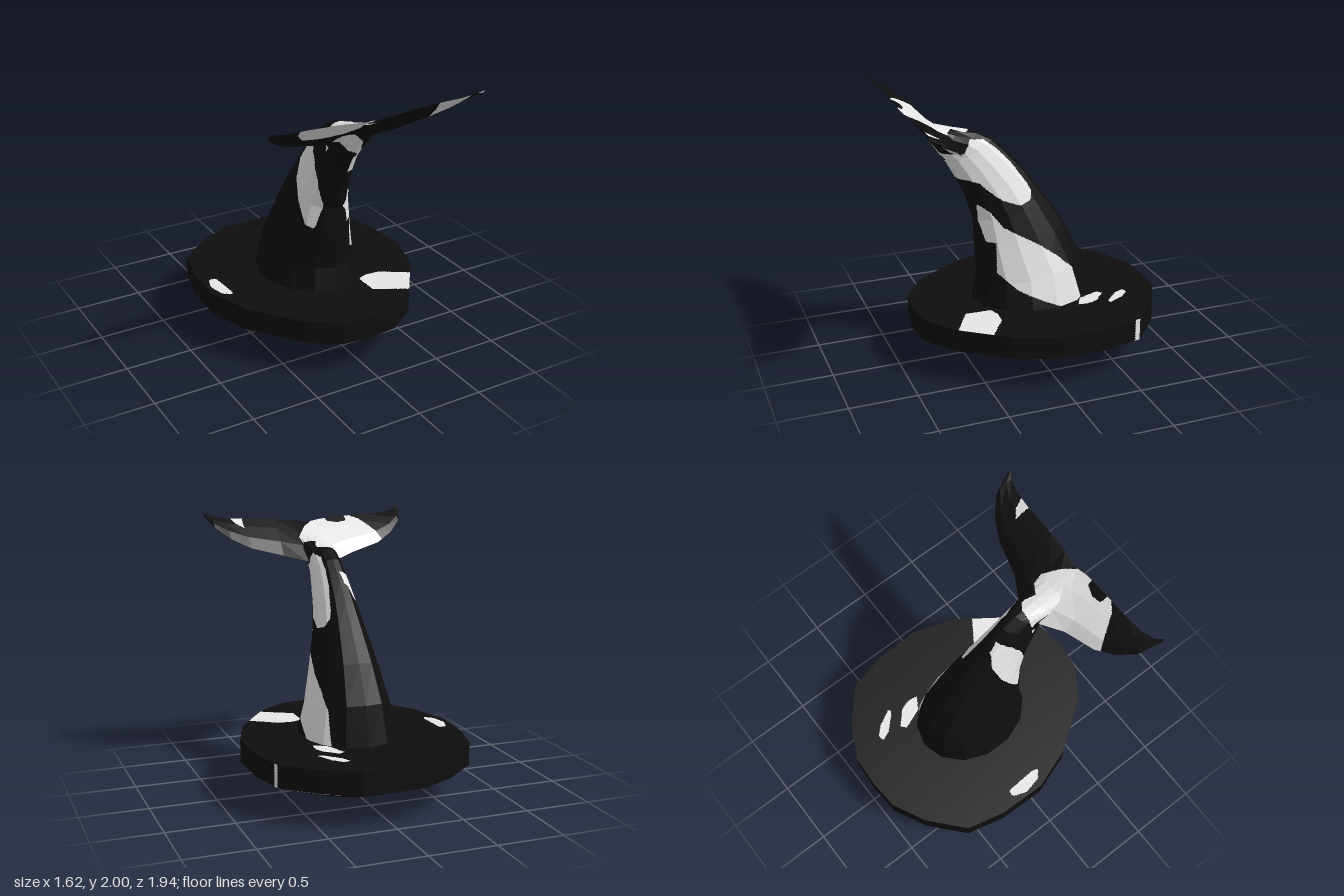
import * as THREE from 'three';

const black = new THREE.MeshStandardMaterial({ color: 0x0e0e0e });
black.name = 'black';
const white = new THREE.MeshStandardMaterial({ color: 0xe6e6e6 });
white.name = 'white';

const V = (x, y, z) => new THREE.Vector3(x, y, z);

// Closed skin through rings of points, capped at both ends, facing outward
function loft(rings) {
  const tris = [];
  const n = rings[0].length;
  for (let i = 0; i < rings.length - 1; i++) {
    for (let j = 0; j < n; j++) {
      const k = (j + 1) % n;
      const a = rings[i][j], b = rings[i][k], c = rings[i + 1][k], d = rings[i + 1][j];
      tris.push([a, b, c], [a, c, d]);
    }
  }
  const cap = (ring, flip) => {
    const mid = ring.reduce((s, p) => s.add(p), V(0, 0, 0)).divideScalar(n);
    ring.forEach((p, j) => {
      const q = ring[(j + 1) % n];
      tris.push(flip ? [mid, q, p] : [mid, p, q]);
    });
  };
  cap(rings[0], true);
  cap(rings[rings.length - 1], false);
  const volume = tris.reduce((s, [a, b, c]) => s + a.dot(b.clone().cross(c)), 0);
  return volume < 0 ? tris.map(([a, b, c]) => [a, c, b]) : tris;
}

function inside(poly, u, v) {
  let hit = false;
  for (let i = 0, j = poly.length - 1; i < poly.length; j = i++) {
    const [ui, vi] = poly[i], [uj, vj] = poly[j];
    if (vi > v !== vj > v && u < ((uj - ui) * (v - vi)) / (vj - vi) + ui) hit = !hit;
  }
  return hit;
}

// Patch outlines are (z,y) for x sides, (x,z) for y sides, (x,y) for z sides
const plane = { x: ['z', 'y'], y: ['x', 'z'], z: ['x', 'y'] };
const patch = (axis, sign, poly) => ({ axis, sign, poly });

// Splits facets along the patch outlines, giving a black and a white group
function paint(name, tris, patches) {
  const out = [[], []];
  for (const tri of tris) {
    const normal = new THREE.Triangle(...tri).getNormal(V(0, 0, 0));
    const active = patches.filter((p) => normal[p.axis] * p.sign > 0.04);
    const classOf = (p) =>
      active.some((a) => inside(a.poly, p[plane[a.axis][0]], p[plane[a.axis][1]])) ? 1 : 0;
    const split = (a, b, c) => {
      const ab = a.distanceTo(b), bc = b.distanceTo(c), ca = c.distanceTo(a);
      const longest = Math.max(ab, bc, ca);
      // rotate so that a-b is the longest edge
      if (bc === longest && ab < longest) return split(b, c, a);
      if (ca === longest && ab < longest) return split(c, a, b);
      const kind = classOf(a.clone().add(b).add(c).divideScalar(3));
      const mixed = [a, b, c].some((p) => classOf(p) !== kind);
      if (active.length && longest > (mixed ? 0.012 : 0.06)) {
        const m = a.clone().lerp(b, 0.5);
        split(a, m, c);
        split(m, b, c);
      } else {
        for (const p of [a, b, c]) out[kind].push(p.x, p.y, p.z);
      }
    };
    split(...tri);
  }
  const geo = new THREE.BufferGeometry();
  geo.setAttribute('position', new THREE.Float32BufferAttribute(out[0].concat(out[1]), 3));
  geo.addGroup(0, out[0].length / 3, 0);
  geo.addGroup(out[0].length / 3, out[1].length / 3, 1);
  geo.computeVertexNormals();
  const mesh = new THREE.Mesh(geo, [black, white]);
  mesh.name = name;
  return mesh;
}

// Faceted disc with a shallow pointed underside
function makeBase() {
  const half = [[0.23, -0.955], [0.48, -0.83], [0.73, -0.61], [0.8, -0.32], [0.81, 0.03],
    [0.7, 0.35], [0.44, 0.71], [0.22, 0.86]];
  const outline = [[0, -0.97], ...half, [0, 0.89],
    ...half.slice().reverse().map(([x, z]) => [-x, z])];
  const ring = (s, y) => outline.map(([x, z]) => V(x * s, y + 0.01 * z * s, z * s));
  const tris = loft([ring(0.001, 0), ring(0.6, 0.107), ring(1, 0.262), ring(1, 0.43)]);
  return paint('base', tris, [
    patch('y', 1, [[0.23, 0.36], [0.3, 0.33], [0.42, 0.34], [0.66, 0.5], [0.5, 0.7], [0.23, 0.55]]),
    patch('y', 1, [[0.23, -0.7], [0.27, -0.72], [0.34, -0.65], [0.42, -0.5], [0.36, -0.53], [0.26, -0.63]]),
    patch('y', 1, [[0.2, -0.5], [0.24, -0.53], [0.34, -0.44], [0.37, -0.36], [0.36, -0.28], [0.26, -0.34]]),
    patch('y', 1, [[-0.74, -0.2], [-0.69, -0.18], [-0.675, 0.05], [-0.69, 0.1], [-0.75, 0.05], [-0.78, -0.08]]),
    patch('x', 1, [[-0.57, 0.2], [-0.61, 0.2], [-0.61, 0.5], [-0.57, 0.5]]),
    // underside
    patch('y', -1, [[0.3, 0.86], [0.42, 0.8], [0.4, 0.6], [0.33, 0.4], [0.2, 0.27], [0.05, 0.18],
      [0.15, 0.35], [0.25, 0.5], [0.28, 0.65]]),
    patch('y', -1, [[0.5, -0.83], [0.68, -0.67], [0.55, -0.62], [0.42, -0.72], [0.35, -0.87]]),
    patch('y', -1, [[-0.85, -0.3], [-0.66, -0.4], [-0.45, -0.1], [-0.48, 0.1], [-0.35, 0.2], [-0.15, 0.18],
      [-0.28, 0.38], [-0.45, 0.52], [-0.49, 0.42], [-0.58, 0.17], [-0.68, 0.52], [-0.85, 0.1]]),
  ]);
}

// Patches shared by the stock and the flukes
const crownPatch = patch('y', 1, [[-0.56, 0.66], [-0.43, 0.85], [-0.33, 0.92], [-0.32, 0.84], [-0.25, 0.83],
  [-0.17, 0.86], [-0.16, 0.92], [-0.08, 0.92], [0.03, 0.82], [0.12, 0.69], [0.11, 0.62], [0.03, 0.57],
  [0.06, 0.47], [0, 0.43], [-0.1, 0.43], [-0.2, 0.5], [-0.5, 0.6]]);
const throatPatch = patch('z', 1, [[-0.21, 1.73], [-0.17, 1.78], [-0.08, 1.78], [0.01, 1.7], [0.03, 1.62],
  [0.12, 1.61], [0.15, 1.36], [0.1, 1.4], [0.03, 1.42], [0.02, 1.58], [-0.06, 1.62], [-0.12, 1.69]]);

// Curved tail stock: front z,y, back z,y and half width of each section
function makeStock() {
  const sections = [
    [0.42, 0.42, -0.475, 0.41, 0.372], [0.385, 0.6, -0.42, 0.72, 0.312], [0.4, 0.82, -0.28, 1.0, 0.25],
    [0.41, 1.08, -0.13, 1.22, 0.195], [0.47, 1.28, 0, 1.4, 0.155], [0.54, 1.42, 0.13, 1.55, 0.13],
    [0.6, 1.53, 0.26, 1.68, 0.112], [0.64, 1.585, 0.37, 1.74, 0.11], [0.69, 1.66, 0.53, 1.775, 0.13],
    [0.76, 1.76, 0.68, 1.815, 0.13], [0.85, 1.87, 0.84, 1.885, 0.08],
  ];
  const sides = 14;
  const rings = sections.map(([fz, fy, bz, by, w]) => Array.from({ length: sides }, (_, j) => {
    const a = (j / sides) * Math.PI * 2, t = (1 + Math.cos(a)) / 2;
    return V(w * Math.sin(a), by + (fy - by) * t, bz + (fz - bz) * t);
  }));
  return paint('tailStock', loft(rings), [
    crownPatch, throatPatch,
    // left flank, upper and lower
    patch('x', 1, [[0.62, 1.55], [0.54, 1.41], [0.41, 1.4], [0.35, 1.34], [0.24, 1.25], [0.11, 1.2],
      [0.02, 1.22], [0, 1.28], [0.03, 1.34], [0.14, 1.5], [0.24, 1.61], [0.34, 1.69], [0.45, 1.71], [0.5, 1.6]]),
    patch('x', 1, [[0.41, 1.225], [0.32, 1.16], [0.24, 1.05], [-0.02, 0.9], [-0.15, 0.8], [-0.28, 0.68],
      [-0.36, 0.4], [-0.15, 0.43], [-0.02, 0.49], [0.16, 0.58], [0.29, 0.7], [0.29, 0.93], [0.35, 0.93],
      [0.39, 1.08]]),
    // right flank
    patch('x', -1, [[0.19, 1.6], [0.12, 1.52], [0.09, 1.4], [0.13, 1.25], [0.2, 1.1], [0.27, 0.95],
      [0.33, 0.92], [0.36, 1.05], [0.38, 1.12], [0.36, 1.3], [0.32, 1.45], [0.26, 1.55]]),
  ]);
}

// Flukes: x, leading z,y, trailing z,y and half thickness, mirrored
function makeFlukes() {
  const half = [
    [0.12, 0.5, 1.64, 0.895, 1.915, 0.033], [0.28, 0.585, 1.68, 0.895, 1.93, 0.03],
    [0.52, 0.64, 1.74, 0.895, 1.94, 0.024], [0.66, 0.71, 1.81, 0.905, 1.945, 0.018],
    [0.76, 0.8, 1.89, 0.93, 1.965, 0.011], [0.812, 0.945, 1.972, 0.968, 1.997, 0.004],
  ];
  const stations = [...half.slice().reverse().map(([x, ...r]) => [-x, ...r]),
    [0, 0.48, 1.66, 0.875, 1.895, 0.035], ...half];
  const lens = [[0, 0], [0.3, 1], [0.7, 0.6], [1, 0], [0.7, -0.6], [0.3, -1]];
  const rings = stations.map(([x, lz, ly, tz, ty, h]) => {
    const len = Math.hypot(tz - lz, ty - ly);
    return lens.map(([t, s]) => V(x,
      ly + (ty - ly) * t + (s * h * (tz - lz)) / len,
      lz + (tz - lz) * t - (s * h * (ty - ly)) / len));
  });
  return paint('flukes', loft(rings), [
    crownPatch, throatPatch,
    patch('y', 1, [[0.53, 0.79], [0.58, 0.83], [0.62, 0.92], [0.52, 0.92]]),
    // undersides
    patch('z', 1, [[-0.58, 1.96], [-0.57, 1.9], [-0.5, 1.83], [-0.38, 1.81], [-0.2, 1.81], [-0.06, 1.85],
      [-0.03, 1.9], [-0.1, 1.95]]),
    patch('z', 1, [[0.49, 1.96], [0.52, 1.86], [0.53, 1.72], [0.6, 1.74], [0.66, 1.8], [0.72, 1.87], [0.74, 1.96]]),
    patch('z', 1, [[0.75, 1.98], [0.82, 1.965], [0.82, 2.02], [0.77, 2.02]]),
  ]);
}

export function createModel() {
  const model = new THREE.Group();
  model.name = 'whaleTail';
  model.add(makeBase(), makeStock(), makeFlukes());
  return model;
}
